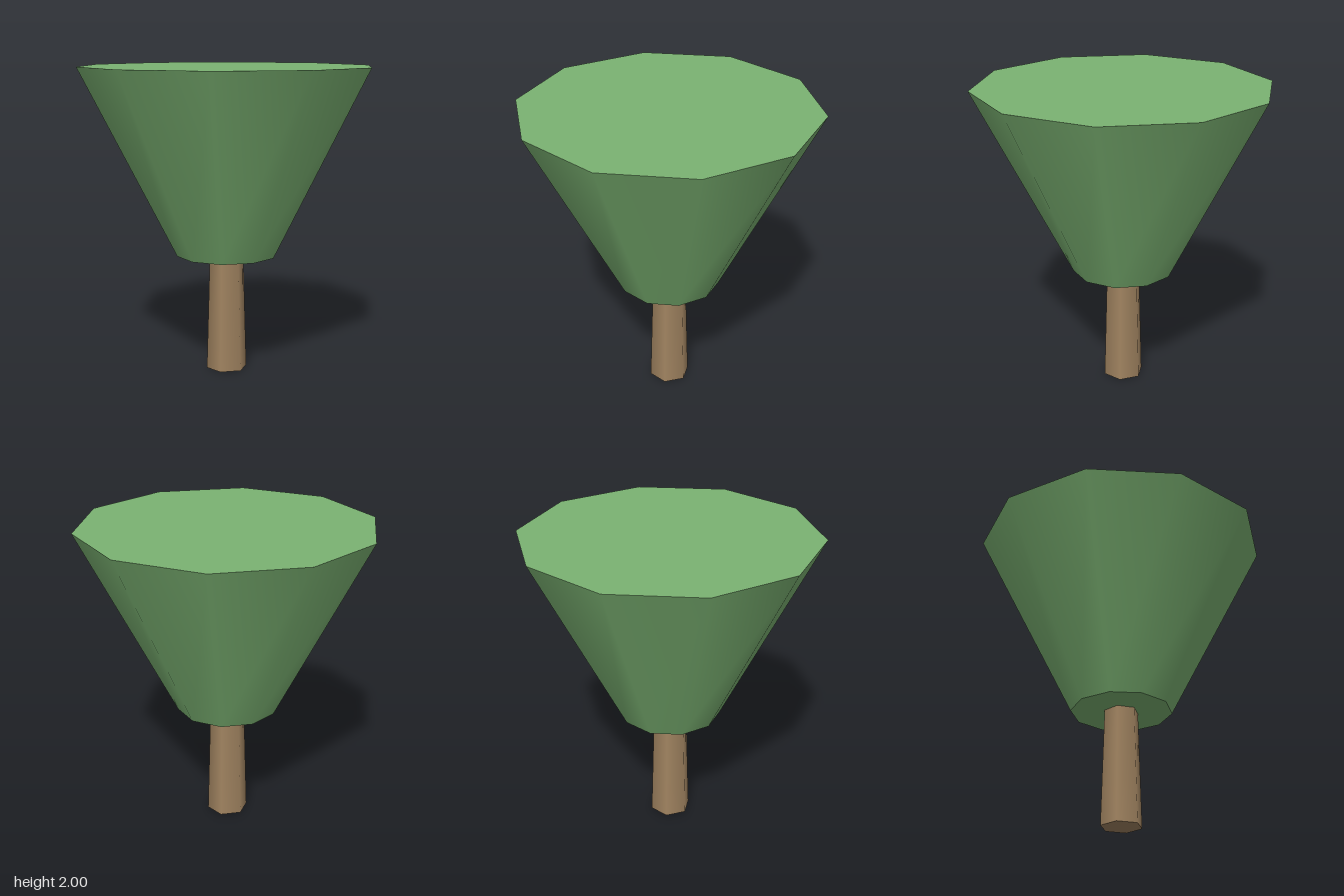
import * as THREE from 'three';

// Tapered, smooth-sided prism with corners on the x axis, standing from y0 to y1
function taperedPrism(name, bottomRadius, topRadius, y0, y1, sides, color) {
  const geometry = new THREE.CylinderGeometry(
    topRadius, bottomRadius, y1 - y0, sides, 1, false, Math.PI / 2);
  geometry.translate(0, (y0 + y1) / 2, 0);
  const mesh = new THREE.Mesh(geometry, new THREE.MeshStandardMaterial({ color }));
  mesh.name = name;
  return mesh;
}

export function createModel() {
  const tree = new THREE.Group();
  tree.name = 'tree';

  // Hexagonal trunk, its top just inside the foliage
  tree.add(taperedPrism('trunk', 0.135, 0.112, 0, 0.79, 6, 0xa08360));

  // Ten-sided foliage, widening upwards to a flat top
  tree.add(taperedPrism('foliage', 0.33, 0.957, 0.77, 2, 10, 0x7bb272));

  return tree;
}
